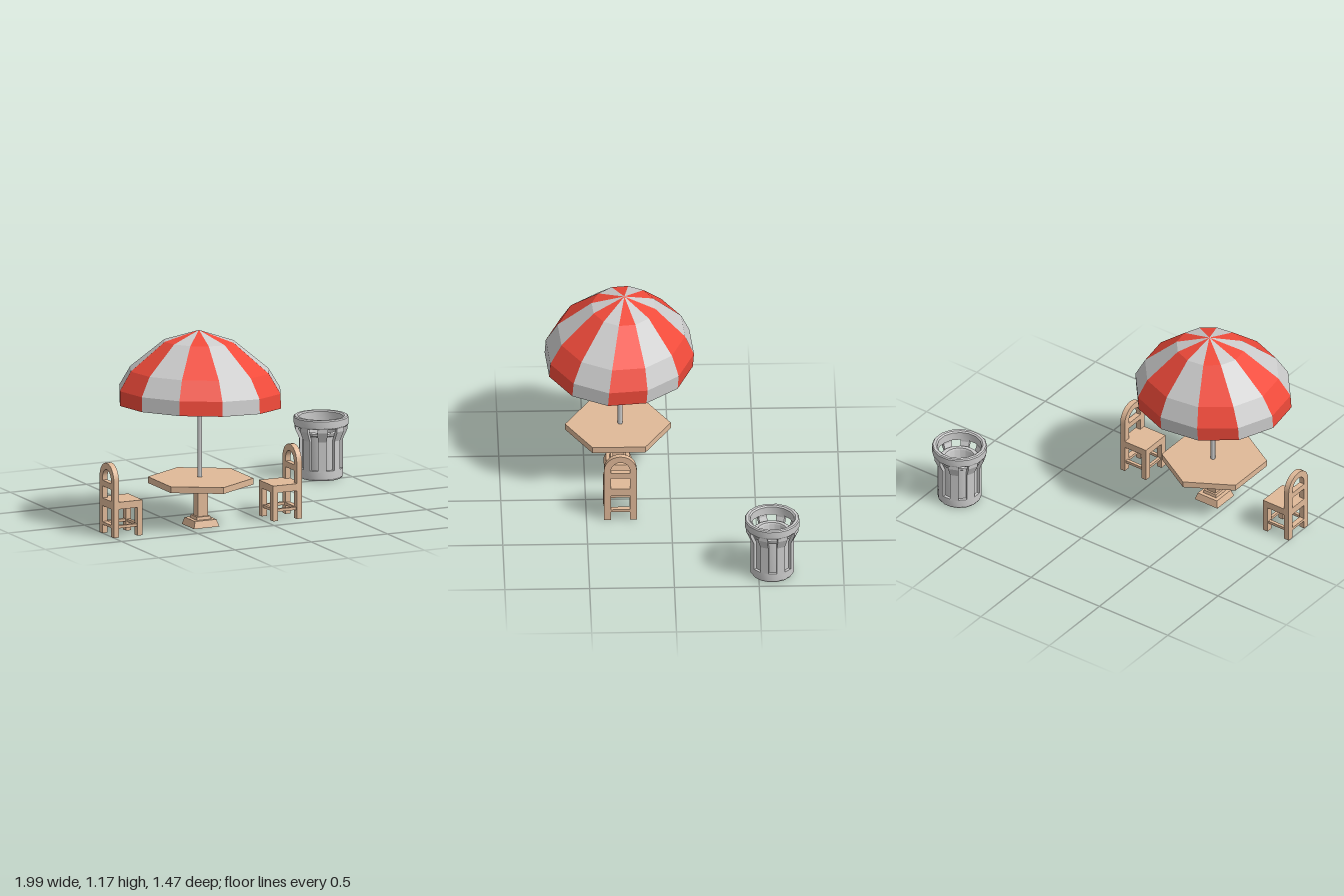
import * as THREE from 'three';
import { mergeGeometries, toCreasedNormals } from 'three/addons/utils/BufferGeometryUtils.js';

const mat = (color, extra = {}) => {
  const m = new THREE.MeshStandardMaterial({ color });
  return Object.assign(m, extra);
};
const WOOD = mat(0xe0b998);
const METAL = mat(0xcccccc);
const CLOTH_GREY = mat(0xcccccc, { flatShading: true });
const CLOTH_RED = mat(0xf04a3a, { flatShading: true });
const LINING = mat(0x8fb0c6, { flatShading: true, side: THREE.BackSide });

function add(parent, name, geo, material, x = 0, y = 0, z = 0) {
  const mesh = new THREE.Mesh(geo, material);
  mesh.name = name;
  mesh.position.set(x, y, z);
  parent.add(mesh);
  return mesh;
}

// Box given by its minimum and maximum corners
function box(parent, name, a, b) {
  const size = b.map((v, i) => v - a[i]);
  const mid = b.map((v, i) => (v + a[i]) / 2);
  return add(parent, name, new THREE.BoxGeometry(...size), WOOD, ...mid);
}

const vec2 = (pts) => pts.map(([x, y]) => new THREE.Vector2(x, y));

// Canopy: twelve panels in two colours, slightly oval and tilted
function makeUmbrella() {
  const g = new THREE.Group();
  g.name = 'umbrella';
  const profile = vec2([[1, 0], [1, 0.2], [0.86, 0.46], [0.43, 0.85], [0, 1]]);
  const step = Math.PI / 6;
  const frame = new THREE.Matrix4().makeBasis(
    new THREE.Vector3(0.064, -0.015, -0.4355),
    new THREE.Vector3(0.008, 0.44, -0.033),
    new THREE.Vector3(0.489, -0.02, 0.075)
  ).setPosition(-0.385, 0.73, 0.295);
  const panels = (first) => mergeGeometries(Array.from({ length: 6 }, (_, i) =>
    new THREE.LatheGeometry(profile, 1, (first + 2 * i) * step, step))).applyMatrix4(frame);
  add(g, 'redPanels', panels(0), CLOTH_RED);
  add(g, 'greyPanels', panels(1), CLOTH_GREY);
  const lining = new THREE.LatheGeometry(profile, 12).scale(0.99, 0.985, 0.99);
  add(g, 'canopyLining', lining.applyMatrix4(frame), LINING);
  add(g, 'pole', new THREE.CylinderGeometry(0.014, 0.014, 0.84, 8), METAL, -0.385, 0.71, 0.287);
  return g;
}

// Hexagonal table on a square pedestal
function makeTable() {
  const g = new THREE.Group();
  g.name = 'table';
  const prism = (rTop, rBottom, h, sides) =>
    toCreasedNormals(new THREE.CylinderGeometry(rTop, rBottom, h, sides), 0.3);
  const square = (top, bottom, h) =>
    prism(top * Math.SQRT2, bottom * Math.SQRT2, h, 4).rotateY(Math.PI / 4);
  add(g, 'tableTop', prism(0.312, 0.312, 0.038, 6), WOOD, 0, 0.269, 0);
  add(g, 'column', square(0.032, 0.032, 0.21), WOOD, 0, 0.15, 0);
  add(g, 'columnFoot', square(0.044, 0.048, 0.02), WOOD, 0, 0.05, 0);
  add(g, 'base', square(0.07, 0.083, 0.042), WOOD, 0, 0.021, 0);
  g.position.set(-0.385, 0, 0.3);
  return g;
}

// Chair with its back at x = 0, facing +x
function makeChair() {
  const g = new THREE.Group();
  g.name = 'chair';
  const W = 0.097, I = 0.057, T = 0.033, D = 0.188;

  // Arched back with legs, crossbars and openings
  const shape = new THREE.Shape();
  shape.moveTo(I, 0);
  shape.lineTo(W, 0);
  shape.lineTo(W, 0.337);
  shape.absarc(0, 0.337, W, 0, Math.PI, false);
  shape.lineTo(-W, 0);
  shape.lineTo(-I, 0);
  shape.lineTo(-I, 0.053);
  shape.lineTo(I, 0.053);
  shape.closePath();
  for (const [y0, y1] of [[0.07, 0.166], [0.213, 0.285]]) {
    shape.holes.push(new THREE.Path(vec2([[-I, y0], [-I, y1], [I, y1], [I, y0]])));
  }
  const arch = new THREE.Path();
  arch.moveTo(-I, 0.32);
  arch.lineTo(I, 0.32);
  arch.lineTo(I, 0.337);
  arch.absarc(0, 0.337, I, 0, Math.PI, false);
  arch.closePath();
  shape.holes.push(arch);
  const back = new THREE.ExtrudeGeometry(shape, { depth: T, bevelEnabled: false, curveSegments: 6 });
  add(g, 'backFrame', toCreasedNormals(back.rotateY(Math.PI / 2), 0.6), WOOD);

  box(g, 'seat', [T, 0.17, -W], [D, 0.213, W]);
  box(g, 'frontRail', [D - 0.026, 0.053, -I], [D - 0.008, 0.07, I]);
  for (const s of [-1, 1]) {
    const zs = [s * W, s * I].sort((a, b) => a - b);
    box(g, 'frontLeg', [D - T, 0, zs[0]], [D, 0.17, zs[1]]);
    box(g, 'sideRail', [T, 0.053, zs[0] + 0.01], [D - T, 0.07, zs[1] - 0.01]);
  }
  return g;
}

// Slotted litter bin: solid base, eight flared slats, rim band and inner liner
function makeBin() {
  const g = new THREE.Group();
  g.name = 'litterBin';
  const ring = (pts) =>
    toCreasedNormals(new THREE.LatheGeometry(vec2(pts), 16, Math.PI / 16), 0.5);
  add(g, 'binBase', ring([[0, 0], [0.122, 0], [0.13, 0.012], [0.13, 0.06], [0.112, 0.06]]), METAL);
  add(g, 'rimBand', ring([[0.13, 0.316], [0.157, 0.316], [0.163, 0.325], [0.163, 0.366],
    [0.157, 0.373], [0.14, 0.373], [0.131, 0.366], [0.13, 0.316]]), METAL);
  add(g, 'liner', ring([[0.112, 0.03], [0.112, 0.262], [0.118, 0.268], [0.118, 0.28], [0.112, 0.284],
    [0.09, 0.284], [0.085, 0.275], [0.075, 0.06], [0.055, 0.045], [0, 0.045]]), METAL);

  // Slats widen in proportion to their distance from the axis
  const slat = new THREE.Shape(vec2([[0.114, 0.05], [0.13, 0.05], [0.13, 0.235], [0.157, 0.295],
    [0.157, 0.325], [0.137, 0.325], [0.137, 0.3], [0.114, 0.245]]));
  const geo = new THREE.ExtrudeGeometry(slat, { depth: 2, bevelEnabled: false });
  geo.translate(0, 0, -1);
  const p = geo.attributes.position;
  const r = Math.cos(Math.PI / 16), w = Math.sin(Math.PI / 16);
  for (let i = 0; i < p.count; i++) {
    p.setXYZ(i, p.getX(i) * r, p.getY(i), p.getZ(i) * p.getX(i) * w);
  }
  geo.computeVertexNormals();
  for (let i = 0; i < 8; i++) {
    add(g, 'slat', geo, METAL).rotation.y = (i + 0.5) * Math.PI / 4;
  }
  g.position.set(0.833, 0, -0.58);
  return g;
}

export function createModel() {
  const model = new THREE.Group();
  model.name = 'patioSet';
  model.add(makeUmbrella(), makeTable(), makeBin());
  const rightChair = makeChair();
  rightChair.position.set(-1, 0, 0.3);
  const leftChair = makeChair();
  leftChair.position.set(0.232, 0, 0.3);
  leftChair.rotation.y = Math.PI;
  model.add(rightChair, leftChair);
  return model;
}
